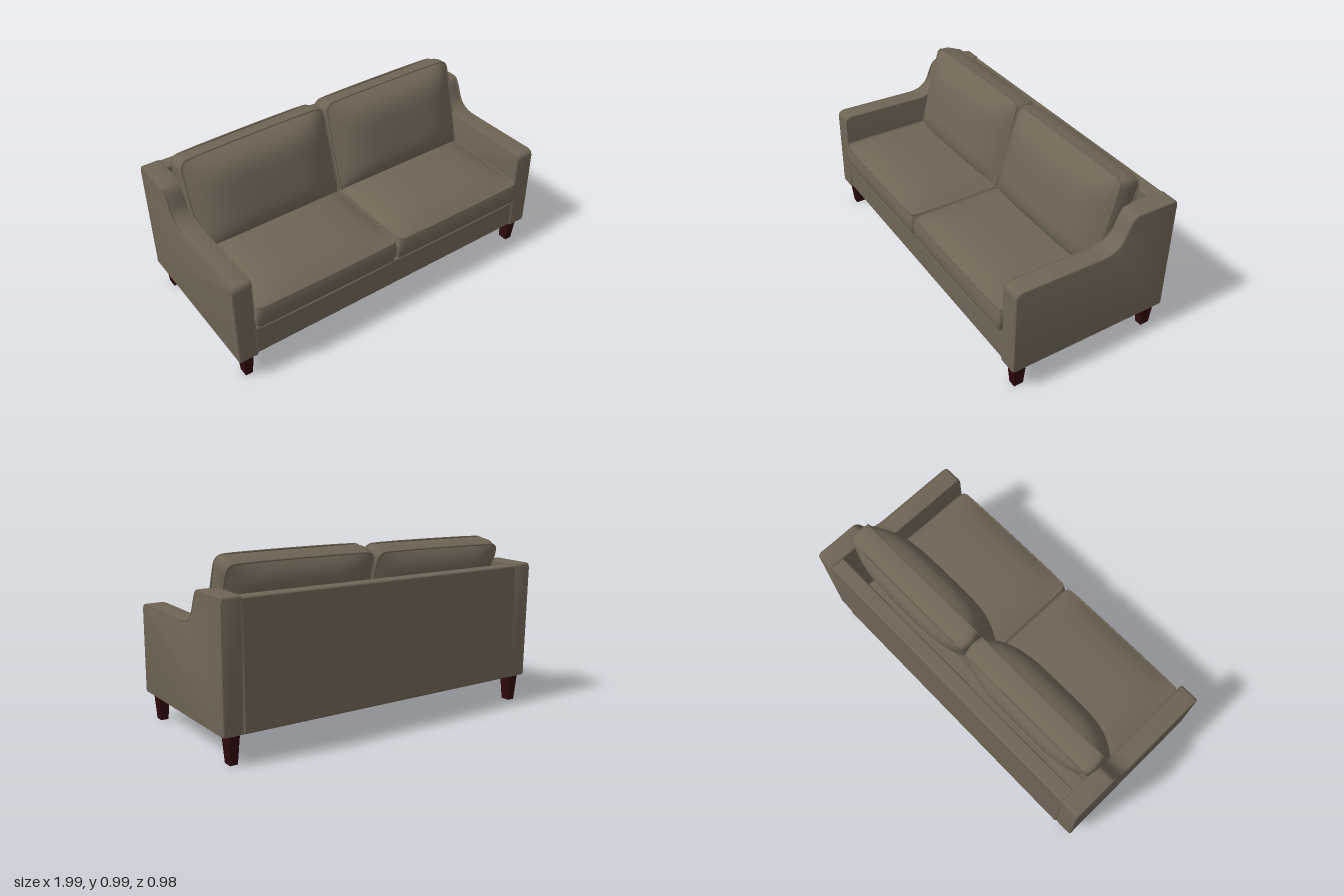
import * as THREE from 'three';
import { toCreasedNormals } from 'three/addons/utils/BufferGeometryUtils.js';
import { RoundedBoxGeometry } from 'three/addons/geometries/RoundedBoxGeometry.js';

const fabric = new THREE.MeshStandardMaterial({ color: 0x6f6555 });
fabric.name = 'taupe fabric';
const wood = new THREE.MeshStandardMaterial({ color: 0x2e0a0c });
wood.name = 'dark red wood';

function mesh(name, geometry, material, x = 0, y = 0, z = 0) {
  const m = new THREE.Mesh(geometry, material);
  m.name = name;
  m.position.set(x, y, z);
  return m;
}

// Closed cord running through the given points
function piping(points, radius, segments = 160) {
  const curve = new THREE.CatmullRomCurve3(points, true, 'centripetal');
  return new THREE.TubeGeometry(curve, segments, radius, 6, true);
}

// Boxed cushion lying in the xy plane: crowned faces, rounded corners, piped seams
function cushion(name, w, h, t, crownFront, crownBack, power, r = 0.045) {
  const group = new THREE.Group();
  group.name = name;
  const geo = new THREE.BoxGeometry(w, h, t, 40, 36, 6);
  const p = geo.attributes.position;
  for (let i = 0; i < p.count; i++) {
    let x = p.getX(i), y = p.getY(i), z = p.getZ(i);
    const u = Math.abs(x) / (w / 2), v = Math.abs(y) / (h / 2), s = z / (t / 2);
    const dx = Math.abs(x) - (w / 2 - r), dy = Math.abs(y) - (h / 2 - r);
    if (dx > 0 && dy > 0) {
      const k = Math.max(dx, dy) / Math.hypot(dx, dy);
      x = Math.sign(x) * (w / 2 - r + dx * k);
      y = Math.sign(y) * (h / 2 - r + dy * k);
    }
    const bulge = 1 + 0.028 * (1 - s * s);
    if (Math.abs(s) > 0.999) {
      z += (s > 0 ? crownFront : -crownBack) * (1 - u ** power) * (1 - v ** power);
    }
    p.setXYZ(i, x * bulge, y * bulge, z);
  }
  geo.computeVertexNormals();
  group.add(mesh('cushionBody', geo, fabric));

  for (const side of [-1, 1]) {
    const pts = [];
    for (let c = 0; c < 4; c++) {
      const sx = c === 0 || c === 3 ? 1 : -1, sy = c < 2 ? 1 : -1;
      for (let k = 0; k <= 4; k++) {
        const a = (c + k / 4) * Math.PI / 2;
        pts.push(new THREE.Vector3(
          sx * (w / 2 - r) + r * Math.cos(a),
          sy * (h / 2 - r) + r * Math.sin(a), side * t / 2));
      }
    }
    group.add(mesh('cushionPiping', piping(pts, 0.005), fabric));
  }
  return group;
}

// Side profile of the arm, drawn with z across and y up
function armProfile() {
  const s = new THREE.Shape();
  s.moveTo(-0.478, 0.155);
  s.lineTo(0.468, 0.155);
  s.lineTo(0.46, 0.62);
  s.quadraticCurveTo(0.46, 0.654, 0.43, 0.655);
  s.lineTo(-0.03, 0.647);
  s.bezierCurveTo(-0.1, 0.645, -0.155, 0.67, -0.18, 0.74);
  s.bezierCurveTo(-0.205, 0.8, -0.215, 0.83, -0.245, 0.832);
  s.lineTo(-0.47, 0.828);
  s.quadraticCurveTo(-0.488, 0.828, -0.488, 0.81);
  s.closePath();
  return s;
}

function arm(name, x) {
  const group = new THREE.Group();
  group.name = name;
  group.position.x = x;
  const shape = armProfile();
  const width = 0.113, bevel = 0.01;
  const depth = width - 2 * bevel;
  const geo = new THREE.ExtrudeGeometry(shape, {
    depth, curveSegments: 14, bevelThickness: bevel, bevelSize: bevel,
    bevelOffset: -bevel, bevelSegments: 3,
  });
  geo.translate(0, 0, -depth / 2).rotateY(-Math.PI / 2);
  group.add(mesh('armBody', toCreasedNormals(geo, 0.6), fabric));

  // Cord just inside the outer and inner edges
  for (const side of [-1, 1]) {
    const pts = shape.getSpacedPoints(120).slice(0, -1).map(q =>
      new THREE.Vector3(side * (width / 2 - 0.005), 0.45 + (q.y - 0.45) * 0.983, q.x * 0.988));
    group.add(mesh('armPiping', piping(pts, 0.006, 240), fabric));
  }
  return group;
}

// Square leg tapering to the floor
function leg(name, x, z) {
  const geo = new THREE.BoxGeometry(0.062, 0.165, 0.08);
  const p = geo.attributes.position;
  for (let i = 0; i < p.count; i++) {
    if (p.getY(i) < 0) {
      p.setX(i, p.getX(i) * 0.68);
      p.setZ(i, p.getZ(i) * 0.68);
    }
  }
  geo.computeVertexNormals();
  return mesh(name, geo, wood, x, 0.0825, z);
}

export function createModel() {
  const sofa = new THREE.Group();
  sofa.name = 'sofa';

  // Frame
  sofa.add(mesh('backPanel', new RoundedBoxGeometry(1.78, 0.665, 0.085, 3, 0.01), fabric, 0, 0.4875, -0.4435));
  sofa.add(mesh('seatBase', new RoundedBoxGeometry(1.78, 0.175, 0.87, 3, 0.01), fabric, 0, 0.2435, 0.027));
  sofa.add(mesh('dustCover', new THREE.BoxGeometry(1.765, 0.008, 0.84), wood, 0, 0.156, 0.03));

  for (const side of [-1, 1]) {
    const label = side > 0 ? 'left' : 'right';
    sofa.add(arm(label + 'Arm', side * 0.9395));
    sofa.add(leg(label + 'FrontLeg', side * 0.932, 0.405));
    sofa.add(leg(label + 'BackLeg', side * 0.932, -0.422));

    // Seat cushion lies flat
    const seat = cushion(label + 'SeatCushion', 0.87, 0.72, 0.13, 0.057, 0.015, 4, 0.03);
    seat.rotation.x = -Math.PI / 2;
    seat.position.set(side * 0.445, 0.41, 0.118);
    sofa.add(seat);

    // Back cushion leans backwards; the right one sags slightly outwards
    const back = cushion(label + 'BackCushion', 0.872, 0.54, 0.125, 0.1, 0.08, 4.5);
    back.position.set(side * 0.447, side > 0 ? 0.705 : 0.693, -0.195);
    back.rotation.set(-0.28, 0, side > 0 ? 0.003 : 0.014);
    sofa.add(back);
  }
  return sofa;
}
